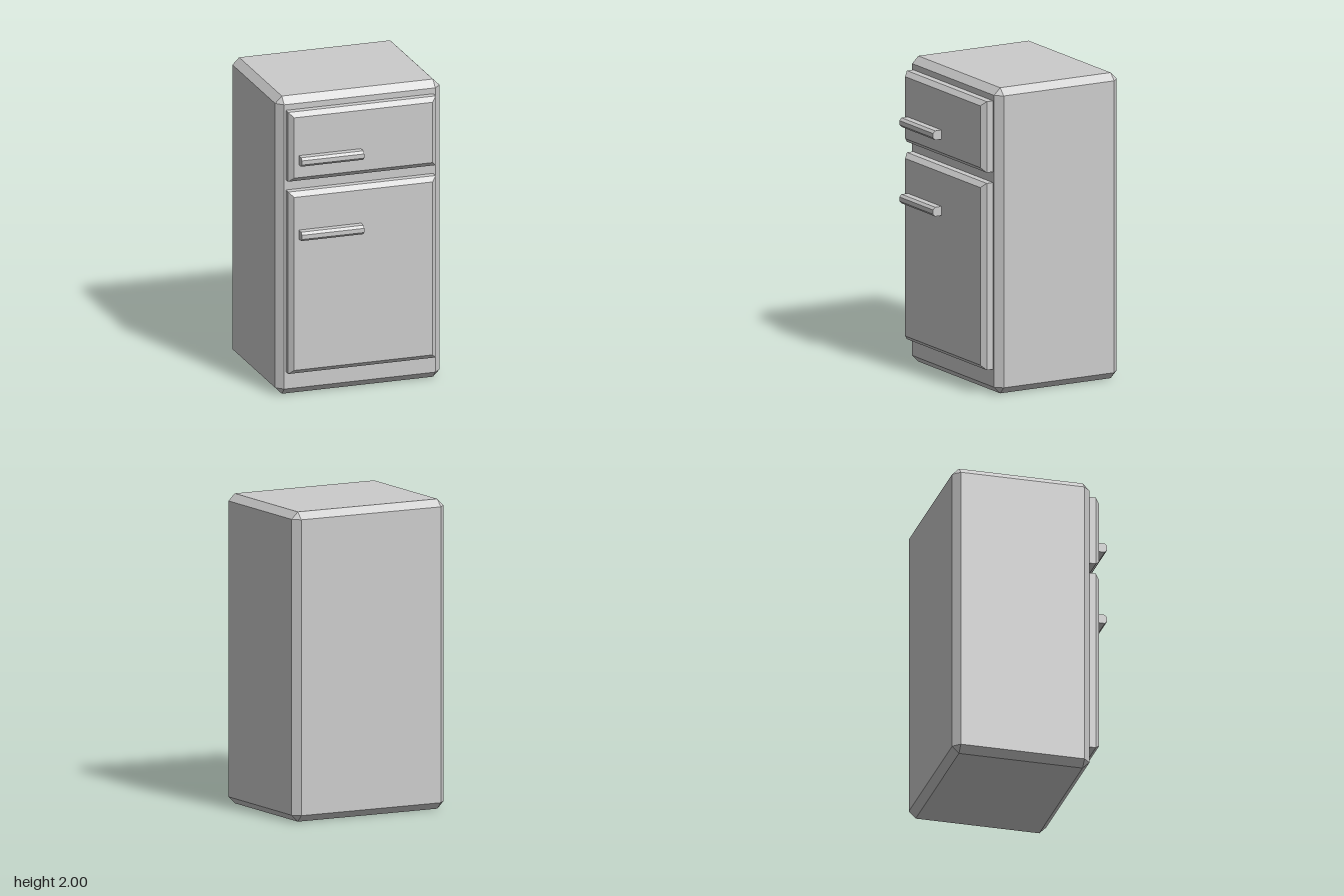
import * as THREE from 'three';
import { ConvexGeometry } from 'three/addons/geometries/ConvexGeometry.js';

const material = new THREE.MeshStandardMaterial({ color: 0xcccccc, flatShading: true });

function addMesh(parent, name, geometry) {
  const mesh = new THREE.Mesh(geometry, material);
  mesh.name = name;
  parent.add(mesh);
}

// Box with every edge cut at 45 degrees and triangular corners
function chamferedBox(min, max, c) {
  const points = [];
  for (const sx of [0, 1]) for (const sy of [0, 1]) for (const sz of [0, 1]) {
    const side = [sx, sy, sz];
    const corner = side.map((s, i) => (s ? max[i] - c : min[i] + c));
    for (let axis = 0; axis < 3; axis++) {
      const p = [...corner];
      p[axis] = side[axis] ? max[axis] : min[axis];
      points.push(new THREE.Vector3(...p));
    }
  }
  return new ConvexGeometry(points);
}

// Slab whose front rim slopes inwards
function bevelledPanel(x0, x1, y0, y1, z0, z1, c) {
  const points = [];
  for (const [z, inset] of [[z0, 0], [z1 - c, 0], [z1, c]]) {
    for (const x of [x0 + inset, x1 - inset])
      for (const y of [y0 + inset, y1 - inset]) points.push(new THREE.Vector3(x, y, z));
  }
  return new ConvexGeometry(points);
}

// Bar along x with its two front edges cut off
function handleBar(x0, x1, y0, y1, z0, z1, c) {
  const profile = [[y0, z0], [y0, z1 - c], [y0 + c, z1], [y1 - c, z1], [y1, z1 - c], [y1, z0]];
  const points = [];
  for (const x of [x0, x1])
    for (const [y, z] of profile) points.push(new THREE.Vector3(x, y, z));
  return new ConvexGeometry(points);
}

export function createModel() {
  const model = new THREE.Group();
  model.name = 'refrigerator';

  // Cabinet
  addMesh(model, 'cabinet', chamferedBox([-0.555, 0, -0.523], [0.555, 2, 0.385], 0.045));

  // Freezer and fridge doors, each with a handle
  const doors = [
    { name: 'freezerDoor', bottom: 1.452, top: 1.917, handleY: 1.6 },
    { name: 'fridgeDoor', bottom: 0.16, top: 1.382, handleY: 1.1 },
  ];
  for (const { name, bottom, top, handleY } of doors) {
    const door = new THREE.Group();
    door.name = name;
    addMesh(door, name + 'Panel', bevelledPanel(-0.499, 0.496, bottom, top, 0.385, 0.461, 0.03));
    addMesh(door, name + 'Handle', handleBar(-0.438, -0.018, handleY - 0.03, handleY + 0.03, 0.461, 0.523, 0.016));
    model.add(door);
  }
  return model;
}
